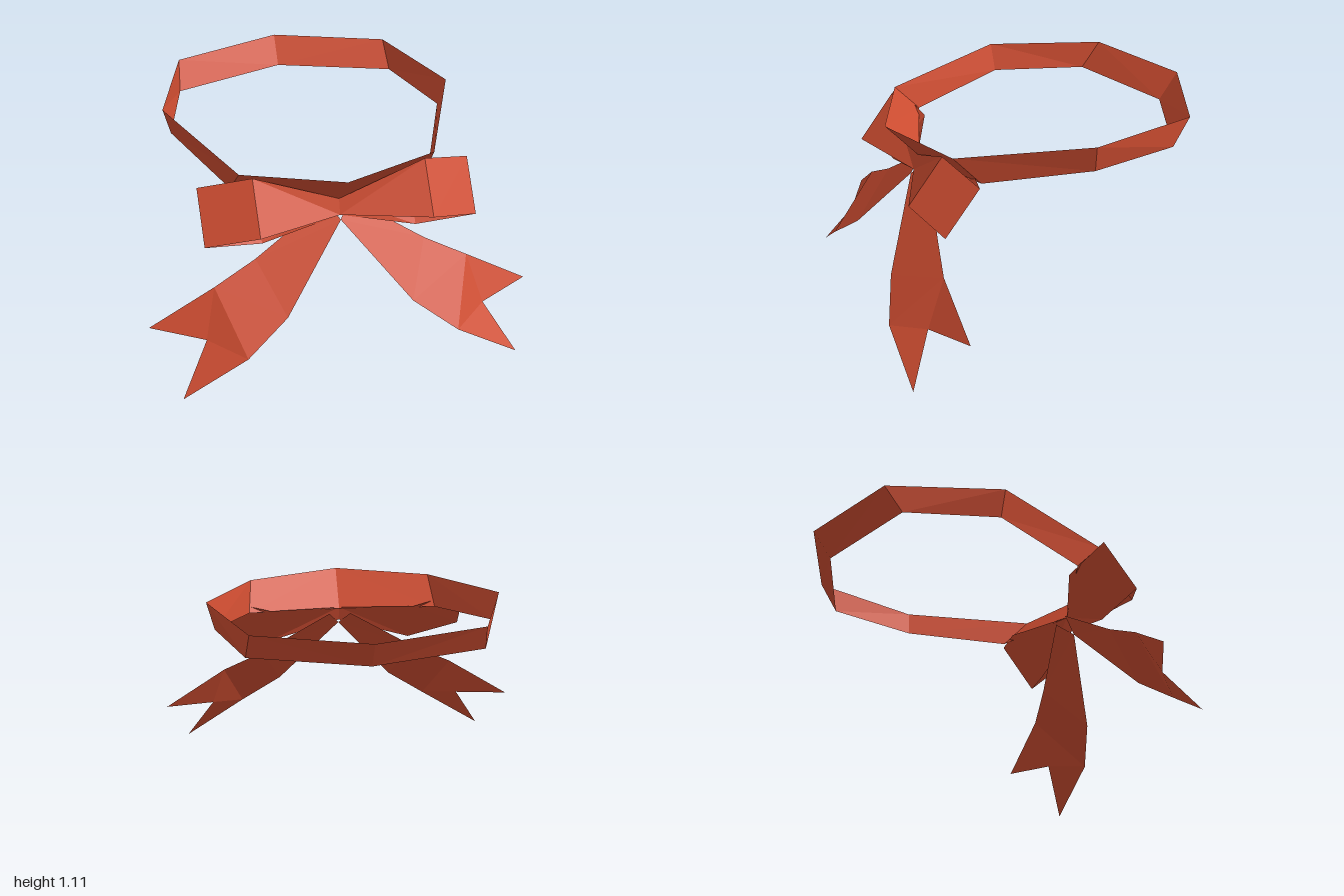
import * as THREE from 'three';

const ribbonRed = new THREE.MeshStandardMaterial({ color: 0xcf4d31, side: THREE.DoubleSide, flatShading: true });
ribbonRed.name = 'ribbonRed';

// Ribbon through pairs of edge points [edgeA, edgeB]; side = -1 mirrors it in x
function ribbon(name, pairs, side = 1, extraTriangles = []) {
  const pos = [];
  const tri = (a, b, c) => {
    for (const p of side > 0 ? [a, b, c] : [a, c, b]) pos.push(p[0] * side, p[1], p[2]);
  };
  for (let i = 0; i < pairs.length - 1; i++) {
    const [a, b] = pairs[i], [c, d] = pairs[i + 1];
    tri(a, b, c);
    tri(c, b, d);
  }
  for (const t of extraTriangles) tri(...t);
  const geo = new THREE.BufferGeometry();
  geo.setAttribute('position', new THREE.Float32BufferAttribute(pos, 3));
  geo.computeVertexNormals();
  const mesh = new THREE.Mesh(geo, ribbonRed);
  mesh.name = name;
  return mesh;
}

export function createModel() {
  const model = new THREE.Group();
  model.name = 'bowCollar';

  // Half of the neck band, back to front: [top edge, bottom edge]
  const band = [
    [[0, 1.12, -0.91], [0, 0.975, -0.81]],
    [[0.585, 1.12, -0.7], [0.6, 0.975, -0.605]],
    [[0.77, 1.12, -0.11], [0.73, 0.975, -0.12]],
    [[0.5, 1.05, 0.54], [0.52, 0.9, 0.4]],
    [[0, 1.05, 0.74], [0, 0.86, 0.565]],
  ];

  // Bow loop, from the knot round the front and back again
  const knot = [[0, 0.865, 0.57], [0, 0.785, 0.595]];
  const loop = [
    knot,
    [[0.44, 1.04, 0.575], [0.44, 0.8, 0.755]],
    [[0.7, 0.965, 0.47], [0.7, 0.725, 0.65]],
    [[0.4, 0.905, 0.405], [0.4, 0.672, 0.59]],
    knot,
  ];

  // Hanging tail: [outer edge, inner edge], ending in a swallowtail
  const outer = [0.66, 0.49, 0.65], inner = [0.545, 0.21, 0.908];
  const notch = [0.725, 0.255, 0.758];
  const tail = [
    [[0.06, 0.84, 0.53], [0, 0.765, 0.61]],
    [[0.44, 0.6, 0.61], [0.325, 0.37, 0.828]],
    [outer, inner],
  ];
  const swallowtail = [
    [outer, inner, notch],
    [outer, notch, [0.995, 0.285, 0.628]],
    [notch, inner, [0.875, 0.01, 0.888]],
  ];

  for (const [label, side] of [['left', 1], ['right', -1]]) {
    model.add(
      ribbon(label + 'NeckBand', band, side),
      ribbon(label + 'BowLoop', loop, side),
      ribbon(label + 'BowTail', tail, side, swallowtail),
    );
  }
  return model;
}
